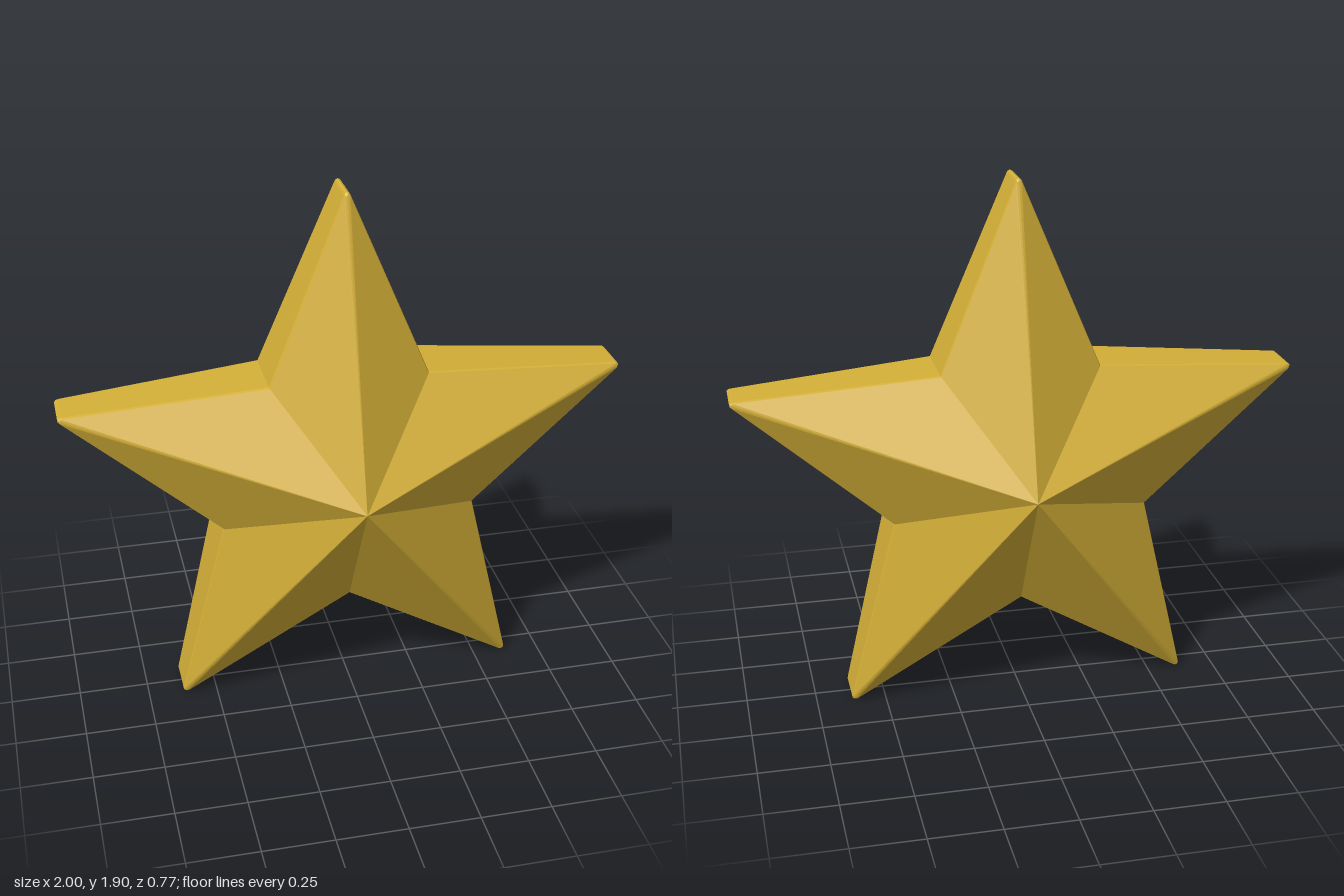
import * as THREE from 'three';

const CENTRE_Y = 0.852;
const APEX_Z = 0.385;

// One arm, pointing up: rounded tip followed by the notch to its right.
// Each entry is [x, y, half thickness].
const notch = [0.48 * Math.sin(Math.PI / 5), 0.48 * Math.cos(Math.PI / 5), 0.118];
const arm = [
  [-0.012, 1.040, 0.08],
  [-0.008, 1.047, 0.08],
  [0, 1.051, 0.08],
  [0.008, 1.047, 0.08],
  [0.012, 1.040, 0.08],
  notch,
];

// Clockwise outline of the whole star, seen from the front
function starOutline() {
  const points = [];
  for (let i = 0; i < 5; i++) {
    const a = (-i * 2 * Math.PI) / 5;
    const c = Math.cos(a), s = Math.sin(a);
    for (const [x, y, z] of arm) points.push([x * c - y * s, x * s + y * c, z]);
  }
  return points;
}

function starGeometry() {
  const outline = starOutline();
  const n = outline.length;
  // Cross-section rings from front to back: chamfer, rim, rim, chamfer
  const rings = [[0.993, 1, 0], [1, 1, -0.009], [1, -1, 0.009], [0.993, -1, 0]];
  const pos = [0, 0, APEX_Z, 0, 0, -APEX_Z];
  for (const [scale, side, dz] of rings)
    for (const [x, y, z] of outline) pos.push(x * scale, y * scale, side * z + dz);

  const at = (ring, i) => 2 + ring * n + (i % n);
  const index = [];
  for (let i = 0; i < n; i++) {
    // Front and back facets meeting at the centre points
    index.push(0, at(0, i + 1), at(0, i));
    index.push(1, at(3, i), at(3, i + 1));
    // Rim with its narrow chamfers
    for (let r = 0; r < 3; r++) {
      index.push(at(r, i), at(r, i + 1), at(r + 1, i));
      index.push(at(r, i + 1), at(r + 1, i + 1), at(r + 1, i));
    }
  }
  const indexed = new THREE.BufferGeometry();
  indexed.setAttribute('position', new THREE.Float32BufferAttribute(pos, 3));
  indexed.setIndex(index);
  const geometry = indexed.toNonIndexed();
  geometry.computeVertexNormals();
  return geometry;
}

export function createModel() {
  const gold = new THREE.MeshStandardMaterial({ color: 0xd4af37 });
  gold.name = 'gold';

  const star = new THREE.Mesh(starGeometry(), gold);
  star.name = 'star';
  star.position.y = CENTRE_Y;

  const group = new THREE.Group();
  group.name = 'facetedStar';
  group.add(star);
  return group;
}
